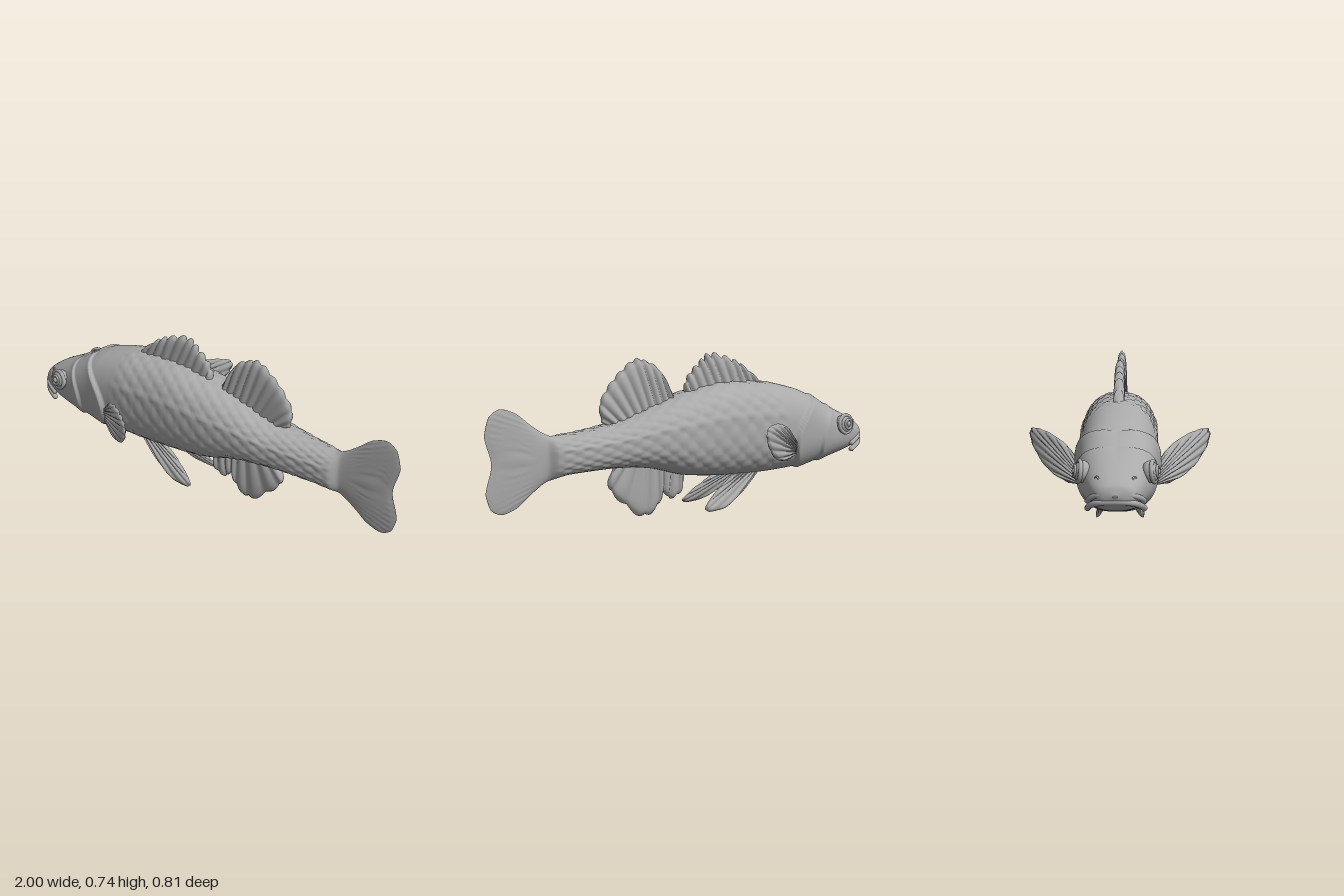
import * as THREE from 'three';

const grey = new THREE.MeshStandardMaterial({ color: 0xaaaaaa, side: THREE.DoubleSide });
grey.name = 'plain grey';

// Smooth surface from cross-section rings; fn(u, v) returns [x, y, z]
function rings(nu, nv, fn) {
  const pos = [], idx = [];
  for (let i = 0; i <= nu; i++) {
    for (let j = 0; j < nv; j++) {
      pos.push(...fn(i / nu, j / nv));
      if (i === nu) continue;
      const a = i * nv + j, b = i * nv + (j + 1) % nv;
      idx.push(a, b, a + nv, b, b + nv, a + nv);
    }
  }
  const g = new THREE.BufferGeometry();
  g.setAttribute('position', new THREE.Float32BufferAttribute(pos, 3));
  g.setIndex(idx);
  g.computeVertexNormals();
  return g;
}

// Body stations: x, top, bottom, half width
const stations = [
  [-1, .30, .285, .01], [-.99, .33, .26, .06], [-.97, .348, .24, .085], [-.92, .38, .217, .112],
  [-.8, .44, .19, .145], [-.7, .498, .172, .158], [-.6, .543, .157, .164], [-.4, .588, .15, .168],
  [-.2, .597, .158, .168], [0, .565, .18, .162], [.2, .51, .235, .142], [.3, .477, .25, .128],
  [.4, .452, .255, .108], [.6, .43, .25, .078], [.67, .427, .238, .064], [.71, .442, .226, .03],
  [.77, .482, .188, .024], [.86, .552, .122, .018], [.92, .57, .105, .013], [.97, .543, .128, .008],
  [1, .46, .2, .002],
];

// Overshoot-free cubic through the stations
function section(x) {
  let k = 0;
  while (k < stations.length - 2 && x > stations[k + 1][0]) k++;
  const S = stations, h = S[k + 1][0] - S[k][0], t = (x - S[k][0]) / h;
  const slope = (i, c) => (S[i + 1][c] - S[i][c]) / (S[i + 1][0] - S[i][0]);
  const tangent = (i, c) => {
    if (i === 0) return slope(0, c);
    if (i === S.length - 1) return slope(i - 1, c);
    const a = slope(i - 1, c), b = slope(i, c);
    return a * b <= 0 ? 0 : 2 * a * b / (a + b);
  };
  return [1, 2, 3].map((c) => {
    const t2 = t * t, t3 = t2 * t;
    return (2 * t3 - 3 * t2 + 1) * S[k][c] + (t3 - 2 * t2 + t) * h * tangent(k, c)
      + (3 * t2 - 2 * t3) * S[k + 1][c] + (t3 - t2) * h * tangent(k + 1, c);
  });
}

const smooth = THREE.MathUtils.smoothstep;
// Plate that rises towards its rear edge and then steps down
const plate = (x, edge, fade) => Math.exp(Math.min(0, x - edge) / fade) * (1 - smooth(x, edge, edge + .018));

function bodyPoint(u, v) {
  let x = -1 + 2 * Math.pow(u, 1.12);
  const [top, bottom, w] = section(x);
  const a = v * Math.PI * 2, c = Math.cos(a), s = Math.sin(a);
  const pw = (q) => Math.sign(q) * Math.pow(Math.abs(q), .86);
  let y = (top + bottom) / 2 + (top - bottom) / 2 * pw(s);
  let z = w * pw(c);
  const side = Math.pow(Math.abs(c), .6);
  // gill cover and cheek plate
  let out = .02 * plate(x, -.54 - 3.6 * (y - .3) ** 2, .08) + .012 * plate(x, -.7 - 3 * (y - .28) ** 2, .05);
  out *= side;
  // scales and lateral line
  const scaled = smooth(x, -.52, -.42) * (1 - smooth(x, .62, .7)) * smooth(s, -.95, -.7);
  const p = x / .045, q = v * 34;
  out += .005 * scaled * Math.abs(Math.sin(Math.PI * (p + q) / 2) * Math.sin(Math.PI * (p - q) / 2));
  out += .005 * scaled * Math.exp(-(((s - .3) / .05) ** 2));
  z += out * c;
  y += out * s;
  // tail rays and rear notch
  const tail = smooth(x, .74, .85);
  z *= 1 + .12 * tail * Math.cos((y - .335) / (x - .45) * 110);
  x -= .035 * smooth(x, .84, 1) * Math.exp(-(((y - .33) / .09) ** 2));
  return [x, y, z];
}

// Rayed fin blade between a root line and a tip outline, both in the xy plane
function finGeometry(root, tip, rays, thick, notch) {
  const curve = (pts) => new THREE.SplineCurve(pts.map((p) => new THREE.Vector2(...p)));
  const A = curve(root), B = curve(tip), m = 32;
  return rings(rays * 8, m, (s, v) => {
    const t = 1 - Math.abs(1 - 2 * v), a = A.getPoint(s), b = B.getPoint(s);
    const ridge = Math.abs(Math.cos(Math.PI * s * rays));
    const p = a.lerp(b, t * (1 - notch * (1 - ridge)));
    const edge = Math.sqrt(Math.min(1, 12 * s * (1 - s)));
    const z = thick * (.5 + .5 * ridge) * edge * Math.sqrt(1 - t ** 6) * (v < .5 ? 1 : -1);
    return [p.x, p.y, v === 0 ? 0 : z];
  });
}

function add(parent, name, geometry) {
  const mesh = new THREE.Mesh(geometry, grey);
  mesh.name = name;
  parent.add(mesh);
  return mesh;
}

export function createModel() {
  const fish = new THREE.Group();
  fish.name = 'fish';
  add(fish, 'bodyAndTail', rings(330, 96, bodyPoint));

  // Fins on the centre line
  add(fish, 'spinyDorsalFin', finGeometry([[-.45, .55], [-.22, .57], [-.01, .53]],
    [[-.44, .575], [-.33, .67], [-.25, .715], [-.14, .745], [-.08, .705], [-.02, .64], [0, .56]], 11, .024, .14));
  add(fish, 'softDorsalFin', finGeometry([[.04, .53], [.2, .48], [.36, .43]],
    [[.06, .565], [.13, .685], [.2, .73], [.26, .742], [.33, .695], [.395, .63], [.44, .55], [.43, .465]], 10, .024, .05));
  add(fish, 'analFin', finGeometry([[.0, .21], [.15, .25], [.35, .28]],
    [[0, .16], [.02, .09], [.075, .07], [.11, .1], [.14, .04], [.22, .0], [.33, .08], [.4, .165], [.37, .25]], 9, .023, .07));

  // Paired parts, built once and mirrored
  for (const sign of [1, -1]) {
    const half = new THREE.Group();
    half.name = sign > 0 ? 'nearSide' : 'farSide';
    half.scale.z = sign;
    fish.add(half);

    const pectoral = add(half, 'pectoralFin', finGeometry([[0, .285], [.03, .245]],
      [[.12, .385], [.25, .43], [.38, .445], [.45, .43], [.43, .36], [.31, .275], [.14, .235]], 9, .017, .015));
    pectoral.position.set(-.55, 0, .135);
    pectoral.rotation.y = -.6435;

    const pelvic = add(half, 'pelvicFin', finGeometry([[.04, .03], [-.04, .02]],
      [[.12, .005], [.2, -.04], [.28, -.1], [.315, -.14], [.29, -.158], [.2, -.148], [.1, -.09], [.03, -.03]], 7, .013, .01));
    pelvic.position.set(-.37, .16, .055);
    pelvic.rotation.x = -.35;

    // Eye with raised rim and pupil
    const eye = new THREE.Group();
    eye.name = 'eye';
    eye.position.set(-.83, .36, .138);
    eye.rotation.set(-.12, -.2, 0);
    half.add(eye);
    add(eye, 'eyeball', new THREE.SphereGeometry(.046, 28, 18)).scale.z = .75;
    add(eye, 'eyeRim', new THREE.TorusGeometry(.043, .009, 10, 36)).position.z = .014;
    add(eye, 'irisRing', new THREE.TorusGeometry(.022, .006, 8, 28)).position.z = .032;
    add(eye, 'pupil', new THREE.SphereGeometry(.013, 16, 10)).position.z = .031;

    const nostril = add(half, 'nostril', new THREE.TorusGeometry(.01, .004, 8, 18));
    nostril.position.set(-.935, .35, .075);
    nostril.rotation.y = -.7;
  }

  // Lips wrap around the snout
  for (const [name, dy, r] of [['upperLip', .012, .012], ['lowerLip', -.018, .013]]) {
    const pts = [[-.9, .243, .114], [-.945, .265, .098], [-.975, .28, .066], [-.986, .286, 0]];
    const path = [...pts, ...pts.slice(0, 3).reverse().map(([x, y, z]) => [x, y, -z])]
      .map(([x, y, z]) => new THREE.Vector3(x, y + dy, z));
    add(fish, name, new THREE.TubeGeometry(new THREE.CatmullRomCurve3(path), 48, r, 10));
    for (const end of [path[0], path[6]]) add(fish, name + 'End', new THREE.SphereGeometry(r, 12, 8)).position.copy(end);
  }
  return fish;
}
